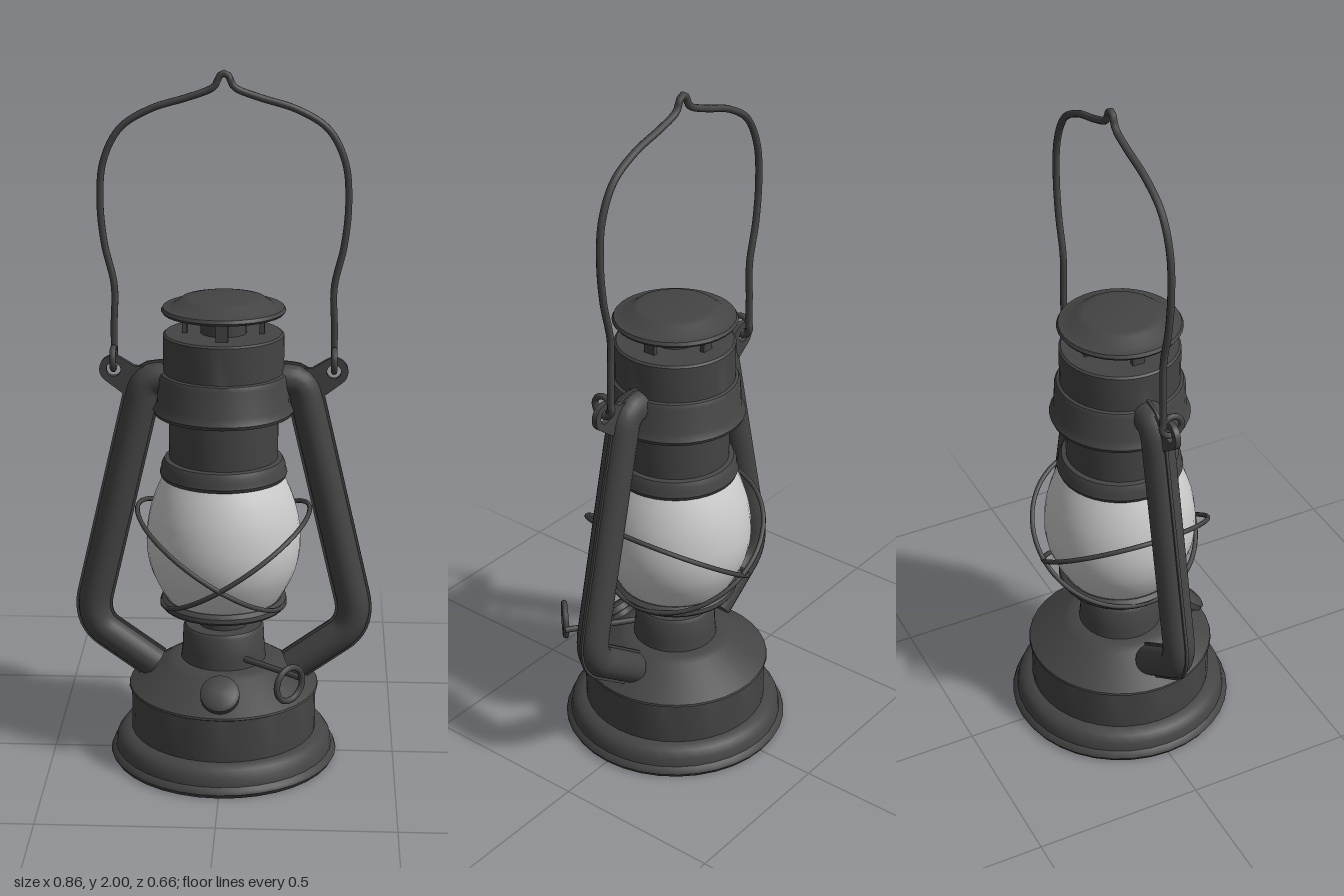
import * as THREE from 'three';
import { toCreasedNormals } from 'three/addons/utils/BufferGeometryUtils.js';

const metal = new THREE.MeshStandardMaterial({ color: 0x444444 });
const glass = new THREE.MeshStandardMaterial({ color: 0xcccccc });
const V = (x, y, z = 0) => new THREE.Vector3(x, y, z);

function add(parent, name, geometry, material = metal) {
  const mesh = new THREE.Mesh(geometry, material);
  mesh.name = name;
  parent.add(mesh);
  return mesh;
}

// Turned part from [radius, height] pairs listed bottom to top
function turned(profile, segments = 36) {
  const pts = profile.map(([r, y]) => new THREE.Vector2(r, y));
  return toCreasedNormals(new THREE.LatheGeometry(pts, segments), 0.6);
}

// Straight rod between two points
function rod(a, b, r) {
  return new THREE.TubeGeometry(new THREE.LineCurve3(a, b), 1, r, 10);
}

// Bent side tube with a thin pressed seam on its inner and outer edge
function sideTube() {
  const path = new THREE.CurvePath();
  path.add(new THREE.LineCurve3(V(0.14, 1.14), V(0.185, 1.14)));
  path.add(new THREE.QuadraticBezierCurve3(V(0.185, 1.14), V(0.222, 1.14), V(0.232, 1.09)));
  path.add(new THREE.LineCurve3(V(0.232, 1.09), V(0.37, 0.5)));
  path.add(new THREE.QuadraticBezierCurve3(V(0.37, 0.5), V(0.393, 0.412), V(0.335, 0.37)));
  path.add(new THREE.LineCurve3(V(0.335, 0.37), V(0.2, 0.272)));
  const r = 0.046, fin = 0.053, t = 0.09;
  const shape = new THREE.Shape();
  for (const side of [1, -1]) {
    const mid = side * Math.PI / 2;
    for (let i = 0; i <= 10; i++) {
      const a = mid - Math.PI + t + (Math.PI - 2 * t) * i / 10;
      const p = [r * Math.cos(a), r * Math.sin(a)];
      if (i === 0 && side === 1) shape.moveTo(...p);
      else shape.lineTo(...p);
    }
    const w = r * Math.sin(t);
    shape.lineTo(side * w, side * fin);
    shape.lineTo(-side * w, side * fin);
  }
  const geo = new THREE.ExtrudeGeometry(shape, { steps: 70, extrudePath: path });
  return toCreasedNormals(geo, 0.6);
}

// Pierced lug that holds the handle
function lug() {
  const cx = 0.31, cy = 1.165, r = 0.04;
  const shape = new THREE.Shape();
  shape.moveTo(0.2, 1.175);
  shape.lineTo(0.25, 1.175);
  shape.absarc(cx, cy, r, 2.1, -0.9, true);
  shape.lineTo(0.265, 1.08);
  shape.lineTo(0.22, 1.08);
  const hole = new THREE.Path();
  hole.absarc(cx, cy, 0.02, 0, Math.PI * 2, false);
  shape.holes.push(hole);
  const geo = new THREE.ExtrudeGeometry(shape, { depth: 0.016, bevelEnabled: false, curveSegments: 16 });
  return geo.translate(0, 0, -0.008);
}

export function createModel() {
  const lantern = new THREE.Group();
  lantern.name = 'lantern';

  // Fuel tank with flared foot
  add(lantern, 'fuelTank', turned([
    [0, 0.005], [0.325, 0], [0.332, 0.012], [0.328, 0.022], [0.318, 0.03], [0.314, 0.055],
    [0.3, 0.075], [0.28, 0.083], [0.27, 0.085], [0.27, 0.212], [0.277, 0.216], [0.275, 0.222],
    [0.17, 0.29], [0.15, 0.3], [0.12, 0.302]]));

  // Burner and globe seat
  add(lantern, 'burner', turned([
    [0.125, 0.29], [0.12, 0.33], [0.117, 0.395], [0.11, 0.405], [0.072, 0.405], [0.072, 0.462],
    [0.178, 0.464], [0.182, 0.47], [0.18, 0.482], [0.168, 0.492], [0, 0.492]]));

  // Glass globe
  const globe = new THREE.SplineCurve([
    [0.16, 0.485], [0.187, 0.53], [0.212, 0.59], [0.222, 0.66], [0.214, 0.74], [0.193, 0.81], [0.165, 0.87],
  ].map(([r, y]) => new THREE.Vector2(r, y)));
  add(lantern, 'globe', new THREE.LatheGeometry(globe.getPoints(24), 36), glass);

  // Collar, chimney, skirt and upper drum
  add(lantern, 'chimney', turned([
    [0, 0.858], [0.178, 0.858], [0.182, 0.868], [0.178, 0.88], [0.176, 0.895], [0.168, 0.91],
    [0.155, 0.913], [0.155, 1.06], [0.196, 1.045], [0.2, 1.055], [0.188, 1.075], [0.184, 1.15],
    [0.178, 1.162], [0.17, 1.165], [0.17, 1.27], [0.164, 1.275], [0, 1.275]]));

  // Vented cap on a core and four posts
  add(lantern, 'ventCore', turned([[0.065, 1.27], [0.065, 1.335]], 24));
  for (let i = 0; i < 4; i++) {
    const a = i * Math.PI / 2;
    const post = add(lantern, 'ventPost', new THREE.BoxGeometry(0.014, 0.07, 0.035));
    post.position.set(0.108 * Math.cos(a), 1.302, 0.108 * Math.sin(a));
    post.rotation.y = -a;
  }
  add(lantern, 'cap', turned([
    [0, 1.325], [0.12, 1.325], [0.13, 1.333], [0.17, 1.333], [0.175, 1.34], [0.17, 1.349],
    [0.145, 1.352], [0.118, 1.372], [0.1, 1.376], [0, 1.378]]));

  // Side frames, turned half round for the second side
  for (const turn of [0, Math.PI]) {
    const frame = new THREE.Group();
    frame.name = turn ? 'rightFrame' : 'leftFrame';
    frame.rotation.y = turn;
    add(frame, 'sideTube', sideTube());
    add(frame, 'handleLug', lug());
    const loop = add(frame, 'handleLoop', new THREE.TorusGeometry(0.03, 0.009, 10, 24));
    loop.rotation.y = Math.PI / 2;
    loop.position.set(0.31, 1.195, 0);
    lantern.add(frame);
  }

  // Wire carrying handle with a peaked hanging notch
  const half = [
    [0.31, 1.195], [0.309, 1.29], [0.307, 1.4], [0.333, 1.52], [0.343, 1.64], [0.332, 1.75],
    [0.285, 1.84], [0.2, 1.893], [0.1, 1.924], [0.035, 1.948], [0.022, 1.96], [0.013, 1.982]];
  const bail = [
    ...half.map(([x, y]) => V(-x, y, -0.026)), V(0, 1.99, -0.026),
    ...half.slice().reverse().map(([x, y]) => V(x, y, -0.026))];
  add(lantern, 'handle', new THREE.TubeGeometry(new THREE.CatmullRomCurve3(bail), 140, 0.01, 10));

  // Two crossed, tilted guard wires around the globe
  for (const side of [1, -1]) {
    const pts = [];
    for (let i = 0; i < 32; i++) {
      const a = i / 32 * Math.PI * 2, c = Math.cos(a);
      pts.push(V(side * (0.035 + 0.212 * c), 0.615 + 0.142 * c, 0.248 * Math.sin(a)));
    }
    add(lantern, 'guardWire', new THREE.TubeGeometry(new THREE.CatmullRomCurve3(pts, true), 72, 0.007, 8, true));
  }

  // Filler cap on the sloping tank top
  const filler = add(lantern, 'fillerCap', turned([
    [0.045, -0.035], [0.045, 0], [0.056, 0.002], [0.056, 0.02], [0.045, 0.028], [0, 0.03]], 24));
  filler.position.set(0, 0.267, 0.222);
  filler.rotation.x = 0.72;

  // Wick adjuster: stem and ring key
  add(lantern, 'wickStem', rod(V(0.06, 0.328, 0.09), V(0.24, 0.328, 0.228), 0.009));
  const key = add(lantern, 'wickKey', new THREE.TorusGeometry(0.049, 0.009, 10, 28));
  key.position.set(0.197, 0.328, 0.265);
  key.rotation.y = Math.PI / 4;

  return lantern;
}
